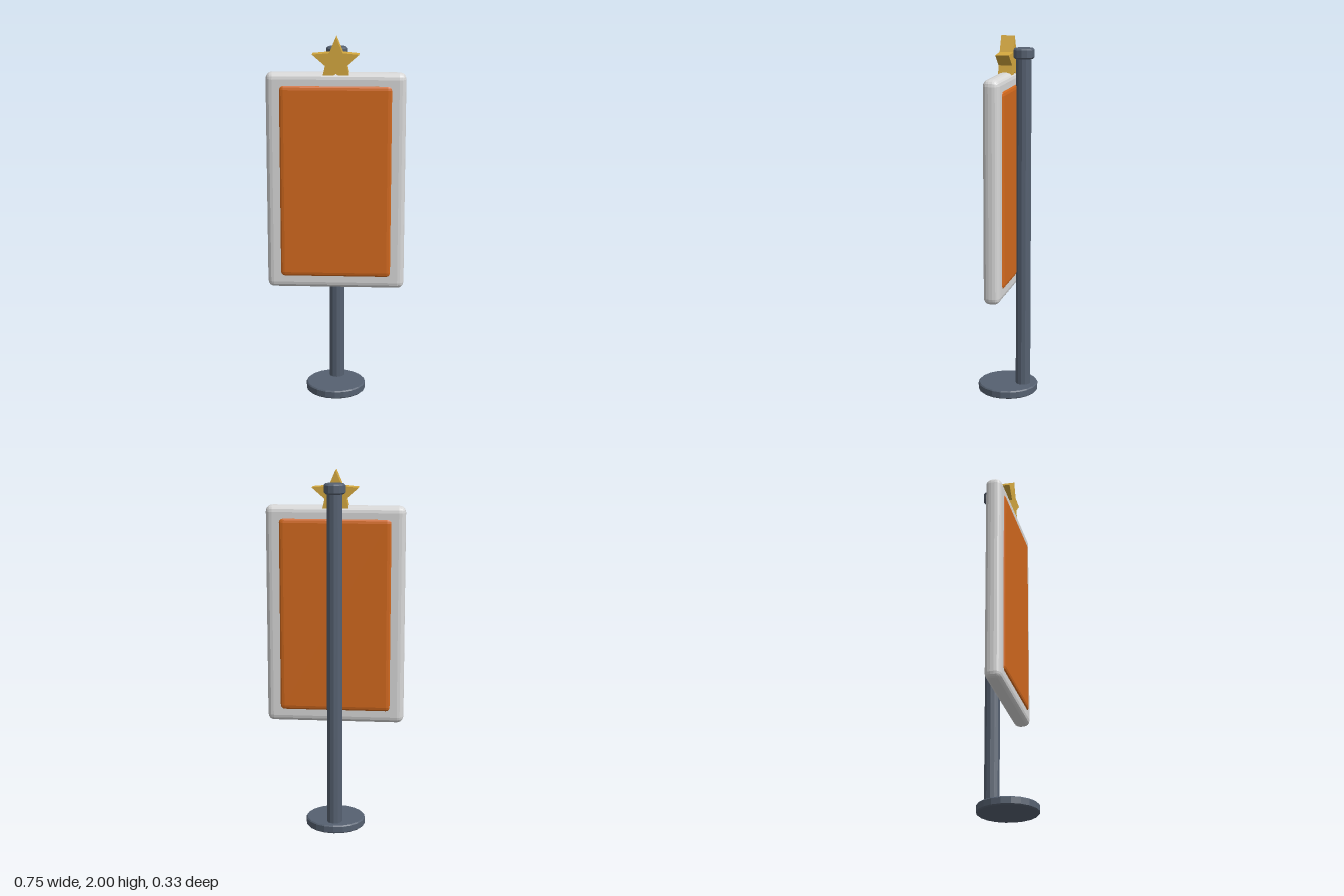
import * as THREE from 'three';
import { RoundedBoxGeometry } from 'three/addons/geometries/RoundedBoxGeometry.js';

const slate = new THREE.MeshStandardMaterial({ color: 0x566171 });
slate.name = 'slate metal';
const silver = new THREE.MeshStandardMaterial({ color: 0xd8d8d8 });
silver.name = 'silver frame';
const orange = new THREE.MeshStandardMaterial({ color: 0xd2691e });
orange.name = 'orange panel';
const gold = new THREE.MeshStandardMaterial({ color: 0xd4a83f });
gold.name = 'gold';

// Gives every face its own flat normal
function faceted(geometry) {
  const flat = geometry.index ? geometry.toNonIndexed() : geometry;
  flat.computeVertexNormals();
  return flat;
}

export function createModel() {
  const model = new THREE.Group();
  model.name = 'signPost';

  const add = (name, geometry, material, y = 0, z = 0) => {
    const mesh = new THREE.Mesh(faceted(geometry), material);
    mesh.name = name;
    mesh.position.set(0, y, z);
    model.add(mesh);
  };

  // Disc with small bevels on both rims
  const disc = (radius, height, bevel, sides) => new THREE.LatheGeometry([
    [0, 0], [radius - bevel, 0], [radius, bevel],
    [radius, height - bevel], [radius - bevel, height], [0, height],
  ].map(([x, y]) => new THREE.Vector2(x, y)), sides);

  // Post standing behind the board
  const postZ = -0.087;
  add('base', disc(0.167, 0.045, 0.006, 20), slate);
  add('pole', new THREE.CylinderGeometry(0.042, 0.042, 1.86, 12), slate, 0.96, postZ);
  add('poleCap', disc(0.058, 0.055, 0.008, 12), slate, 1.88, postZ);

  // Board: rounded frame with a panel showing on both faces
  add('frame', new RoundedBoxGeometry(0.754, 1.2, 0.09, 2, 0.035), silver, 1.21);
  add('panel', new RoundedBoxGeometry(0.622, 1.076, 0.108, 2, 0.03), orange, 1.211);

  // Five-pointed star set into the top of the frame
  const points = [];
  for (let i = 0; i < 10; i++) {
    const r = i % 2 ? 0.061 : 0.134;
    const a = Math.PI / 2 + i * Math.PI / 5;
    points.push(new THREE.Vector2(r * Math.cos(a), r * Math.sin(a)));
  }
  const star = new THREE.ExtrudeGeometry(new THREE.Shape(points), { depth: 0.074, bevelEnabled: false });
  star.translate(0, 0, -0.037);
  add('star', star, gold, 1.866);

  return model;
}
